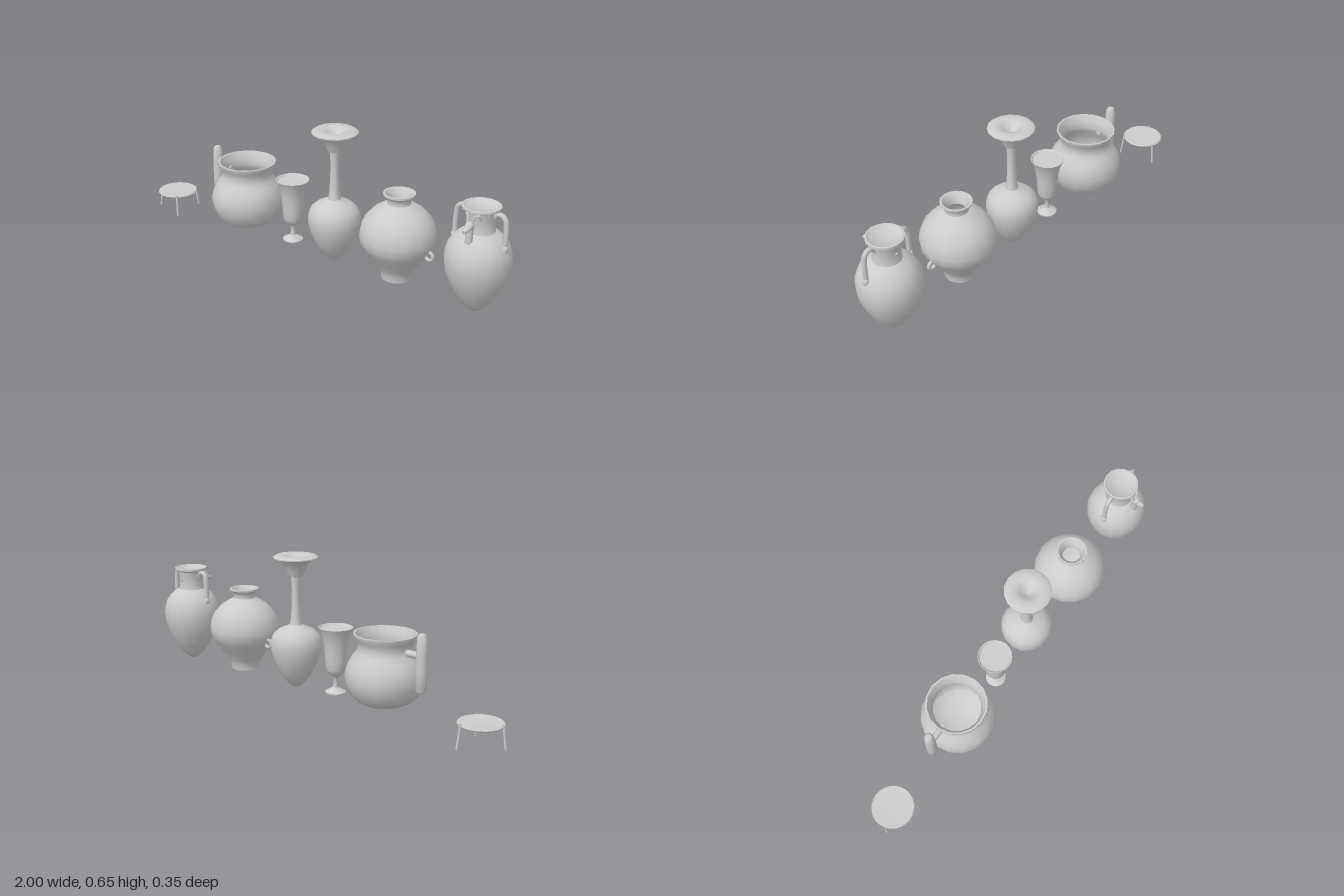
import * as THREE from 'three';
import { toCreasedNormals } from 'three/addons/utils/BufferGeometryUtils.js';

const material = new THREE.MeshStandardMaterial({ color: 0xcccccc, side: THREE.DoubleSide });

function add(parent, name, geometry, x = 0, y = 0, z = 0) {
  const mesh = new THREE.Mesh(geometry, material);
  mesh.name = name;
  mesh.position.set(x, y, z);
  parent.add(mesh);
  return mesh;
}

function group(parent, name, x) {
  const g = new THREE.Group();
  g.name = name;
  g.position.x = x;
  parent.add(g);
  return g;
}

// turned body from [radius, height] pairs, listed from the foot up and then inside
function turned(profile, sides = 16) {
  const points = profile.map(([r, y]) => new THREE.Vector2(r, y));
  return toCreasedNormals(new THREE.LatheGeometry(points, sides), 0.75);
}

// round rod along a smooth path
function rod(points, radius, steps = 20) {
  const path = new THREE.CatmullRomCurve3(points.map((p) => new THREE.Vector3(...p)));
  return new THREE.TubeGeometry(path, steps, radius, 8);
}

function buildStool(root) {
  const g = group(root, 'tripodStool', -0.895);
  add(g, 'seat', turned([[0, 0.086], [0.06, 0.088], [0.094, 0.094], [0.098, 0.1],
    [0.094, 0.105], [0.05, 0.102], [0, 0.1]], 24));
  // three splayed legs
  for (const [x, z] of [[-0.1, 0.03], [0.045, -0.1], [0.075, 0.08]]) {
    add(g, 'leg', rod([[x, 0.003, z], [x * 0.94, 0.05, z * 0.94], [x * 0.88, 0.108, z * 0.88]], 0.005, 6));
  }
}

function buildCookingPot(root) {
  const g = group(root, 'cookingPot', -0.402);
  add(g, 'potBody', turned([[0, 0.062], [0.05, 0.064], [0.09, 0.073], [0.125, 0.09], [0.15, 0.115],
    [0.168, 0.16], [0.174, 0.2], [0.165, 0.24], [0.145, 0.277], [0.125, 0.3], [0.118, 0.325],
    [0.125, 0.355], [0.138, 0.372], [0.138, 0.383], [0.13, 0.383], [0.116, 0.355], [0.108, 0.325],
    [0.115, 0.3], [0.145, 0.26], [0.162, 0.2], [0.145, 0.125], [0.09, 0.083], [0, 0.074]]));
  // upright grip joined by a short bar
  add(g, 'grip', turned([[0, 0.155], [0.016, 0.158], [0.024, 0.17], [0.025, 0.25], [0.024, 0.33],
    [0.021, 0.4], [0.014, 0.412], [0, 0.415]], 12), -0.193);
  const bar = add(g, 'gripBar', new THREE.CylinderGeometry(0.015, 0.015, 0.09, 10), -0.145, 0.317, 0);
  bar.rotation.z = Math.PI / 2;
}

function buildGoblet(root) {
  const g = group(root, 'goblet', -0.121);
  add(g, 'gobletBody', turned([[0, 0.056], [0.046, 0.056], [0.047, 0.062], [0.03, 0.071],
    [0.013, 0.082], [0.009, 0.1], [0.01, 0.125], [0.017, 0.136], [0.035, 0.147], [0.044, 0.168],
    [0.047, 0.21], [0.051, 0.265], [0.058, 0.31], [0.069, 0.342], [0.078, 0.36], [0.075, 0.36],
    [0.068, 0.352], [0, 0.35]], 20));
}

function buildTrumpetVase(root) {
  const g = group(root, 'trumpetVase', 0.123);
  add(g, 'vaseBody', turned([[0, 0.03], [0.02, 0.037], [0.05, 0.066], [0.08, 0.11], [0.105, 0.165],
    [0.118, 0.215], [0.118, 0.255], [0.107, 0.285], [0.08, 0.308], [0.045, 0.322], [0.029, 0.332],
    [0.024, 0.36], [0.02, 0.43], [0.019, 0.5], [0.023, 0.556], [0.032, 0.558], [0.044, 0.587],
    [0.058, 0.616], [0.077, 0.634], [0.104, 0.641], [0.104, 0.646], [0.09, 0.655], [0.06, 0.655],
    [0.04, 0.648], [0.015, 0.62], [0, 0.615]]));
}

function buildStorageJar(root) {
  const g = group(root, 'storageJar', 0.468);
  add(g, 'jarBody', turned([[0, 0.057], [0.068, 0.057], [0.07, 0.085], [0.084, 0.11], [0.107, 0.145],
    [0.145, 0.195], [0.163, 0.225], [0.168, 0.26], [0.161, 0.3], [0.143, 0.337], [0.113, 0.37],
    [0.075, 0.394], [0.052, 0.406], [0.05, 0.42], [0.057, 0.436], [0.07, 0.444], [0.07, 0.452],
    [0.062, 0.452], [0.044, 0.43], [0.04, 0.405], [0.09, 0.365], [0.14, 0.31], [0.15, 0.25],
    [0.1, 0.16], [0, 0.12]]));
  // small ring lugs on both sides
  for (const side of [-1, 1]) {
    add(g, 'ringLug', new THREE.TorusGeometry(0.018, 0.008, 8, 18), side * 0.16, 0.204, 0);
  }
}

function buildAmphora(root) {
  const g = group(root, 'amphora', 0.858);
  add(g, 'amphoraBody', turned([[0, 0.028], [0.02, 0.036], [0.05, 0.06], [0.085, 0.11], [0.115, 0.165],
    [0.134, 0.22], [0.14, 0.268], [0.136, 0.305], [0.124, 0.34], [0.105, 0.366], [0.082, 0.386],
    [0.063, 0.397], [0.058, 0.42], [0.06, 0.455], [0.066, 0.486], [0.08, 0.494], [0.08, 0.504],
    [0.073, 0.505], [0.064, 0.496], [0, 0.492]]));
  // looped side handles with rounded lower ends
  for (const side of [-1, 1]) {
    const path = [[0.056, 0.462], [0.068, 0.48], [0.09, 0.483], [0.107, 0.469], [0.113, 0.44],
      [0.115, 0.39], [0.115, 0.345]].map(([x, y]) => [side * x, y, 0]);
    add(g, 'sideHandle', rod(path, 0.011, 28));
    const end = add(g, 'handleEnd', new THREE.SphereGeometry(0.017, 12, 8), side * 0.117, 0.345, 0);
    end.scale.set(0.8, 1.1, 1);
  }
  buildAnimalSpout(g);
}

// animal head and neck rising from the front shoulder
function buildAnimalSpout(parent) {
  const g = group(parent, 'animalHandle', 0);
  add(g, 'animalNeck', rod([[0, 0.355, 0.088], [0, 0.4, 0.086], [0, 0.445, 0.083]], 0.016, 8));
  const head = add(g, 'animalHead', new THREE.SphereGeometry(0.02, 12, 10), 0, 0.444, 0.088);
  head.scale.set(0.9, 0.95, 1.15);
  const snout = add(g, 'snout', new THREE.CylinderGeometry(0.009, 0.016, 0.04, 10), 0, 0.436, 0.111);
  snout.rotation.x = Math.PI / 2 + 0.25;
  for (const side of [-1, 1]) {
    const ear = add(g, 'ear', new THREE.ConeGeometry(0.007, 0.04, 8), side * 0.013, 0.472, 0.084);
    ear.rotation.z = -side * 0.3;
    // curled horns sweeping back to the neck
    add(g, 'horn', rod([[side * 0.008, 0.458, 0.082], [side * 0.018, 0.486, 0.078],
      [side * 0.03, 0.484, 0.066], [side * 0.03, 0.462, 0.056]], 0.005, 12));
  }
  const stud = add(g, 'rearStud', new THREE.ConeGeometry(0.007, 0.018, 8), 0, 0.446, -0.064);
  stud.rotation.x = -Math.PI / 3;
}

export function createModel() {
  const root = new THREE.Group();
  root.name = 'vesselCollection';
  buildStool(root);
  buildCookingPot(root);
  buildGoblet(root);
  buildTrumpetVase(root);
  buildStorageJar(root);
  buildAmphora(root);
  return root;
}
